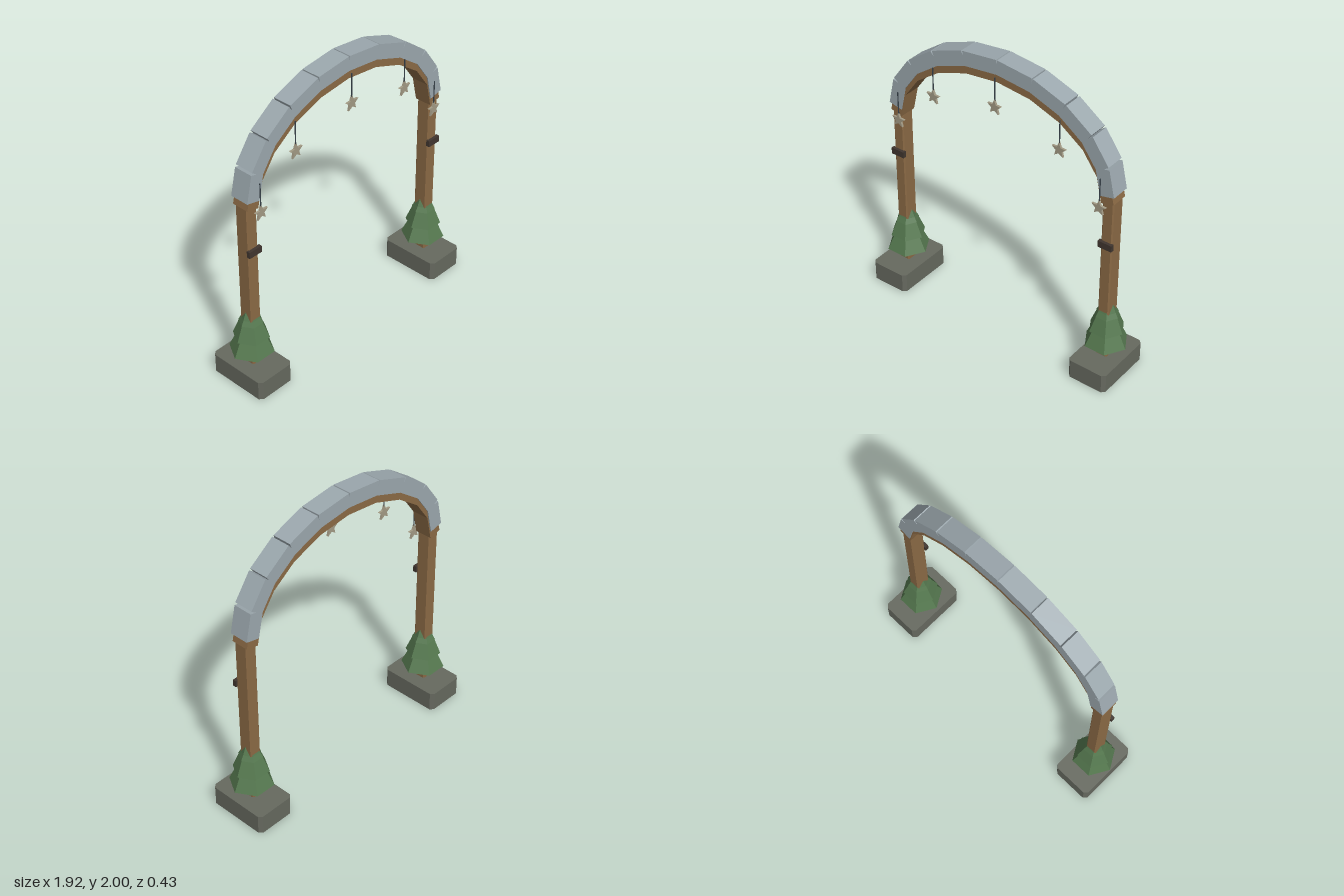
import * as THREE from 'three';

const mat = (color) => new THREE.MeshStandardMaterial({ color });
const POST_X = 0.815;

// Upright block with its four vertical corners cut off
function chamferedBlock(w, d, h, c) {
  const x = w / 2, z = d / 2;
  const outline = [[-x + c, -z], [x - c, -z], [x, -z + c], [x, z - c], [x - c, z], [-x + c, z], [-x, z - c], [-x, -z + c]];
  const shape = new THREE.Shape(outline.map(([a, b]) => new THREE.Vector2(a, b)));
  return new THREE.ExtrudeGeometry(shape, { depth: h, bevelEnabled: false }).rotateX(-Math.PI / 2);
}

// Flat five-pointed star, one point up
function starGeometry(outer, inner, depth) {
  const pts = [];
  for (let i = 0; i < 10; i++) {
    const a = Math.PI / 2 + (i * Math.PI) / 5;
    const r = i % 2 ? inner : outer;
    pts.push(new THREE.Vector2(Math.cos(a) * r, Math.sin(a) * r));
  }
  return new THREE.ExtrudeGeometry(new THREE.Shape(pts), { depth, bevelEnabled: false }).translate(0, 0, -depth / 2);
}

// Point on a half ellipse, step 0..10 from the right post to the left post
function archPoint(step, base, rise) {
  const a = (step * Math.PI) / 10;
  return new THREE.Vector2(POST_X * Math.cos(a), base + rise * Math.sin(a));
}

export function createModel() {
  const root = new THREE.Group();
  const wood = mat(0x8b6a45), ice = mat(0x9ca8ae), stone = mat(0x66695f);
  const green = mat(0x55784f), dark = mat(0x40362f), cord = mat(0x39434b), starMat = mat(0xa39b85);
  green.flatShading = true;

  const add = (parent, name, geometry, material, x = 0, y = 0, z = 0) => {
    const m = new THREE.Mesh(geometry, material);
    m.name = name;
    m.position.set(x, y, z);
    parent.add(m);
    return m;
  };

  // Ten straight blocks following the arch curve
  const addArch = (name, material, base, rise, thickness, depth) => {
    const arch = new THREE.Group();
    arch.name = name;
    for (let i = 0; i < 10; i++) {
      const p = archPoint(i, base, rise), q = archPoint(i + 1, base, rise);
      const block = add(arch, name + 'Block', new THREE.BoxGeometry(p.distanceTo(q) + 0.003, thickness, depth),
        material, (p.x + q.x) / 2, (p.y + q.y) / 2);
      block.rotation.z = Math.atan2(p.y - q.y, p.x - q.x);
    }
    root.add(arch);
  };
  addArch('woodArch', wood, 1.315, 0.575, 0.09, 0.12);
  addArch('snowCap', ice, 1.37, 0.58, 0.1, 0.134);

  // Posts with footing, straps and tiered fir tree
  for (const side of [1, -1]) {
    const leg = new THREE.Group();
    leg.name = side > 0 ? 'leftLeg' : 'rightLeg';
    leg.position.x = side * POST_X;
    add(leg, 'footing', chamferedBlock(0.28, 0.43, 0.135, 0.022), stone);
    add(leg, 'post', chamferedBlock(0.08, 0.1, 1.33, 0.008), wood, 0, 0.001);
    for (const y of [0.325, 1.007]) {
      add(leg, 'strap', new THREE.BoxGeometry(0.1, 0.045, 0.025), dark, 0, y, 0.0575);
    }
    for (const [r, y, h] of [[0.147, 0.22, 0.32], [0.12, 0.33, 0.3], [0.08, 0.44, 0.155]]) {
      const tier = add(leg, 'firTier', new THREE.ConeGeometry(r, h, 6), green, 0, y + h / 2);
      tier.rotation.y = Math.PI / 6;
    }
    root.add(leg);
  }

  // Stars hanging on cords in front of the arch
  for (const step of [1, 3, 5, 7, 9]) {
    const p = archPoint(step, 1.315, 0.575);
    const hanging = new THREE.Group();
    hanging.name = 'hangingStar';
    hanging.position.set(p.x, p.y, 0.085);
    add(hanging, 'cord', new THREE.CylinderGeometry(0.004, 0.004, 0.18, 6), cord, 0, -0.09);
    add(hanging, 'star', starGeometry(0.053, 0.023, 0.015), starMat, 0, -0.205);
    root.add(hanging);
  }
  return root;
}
